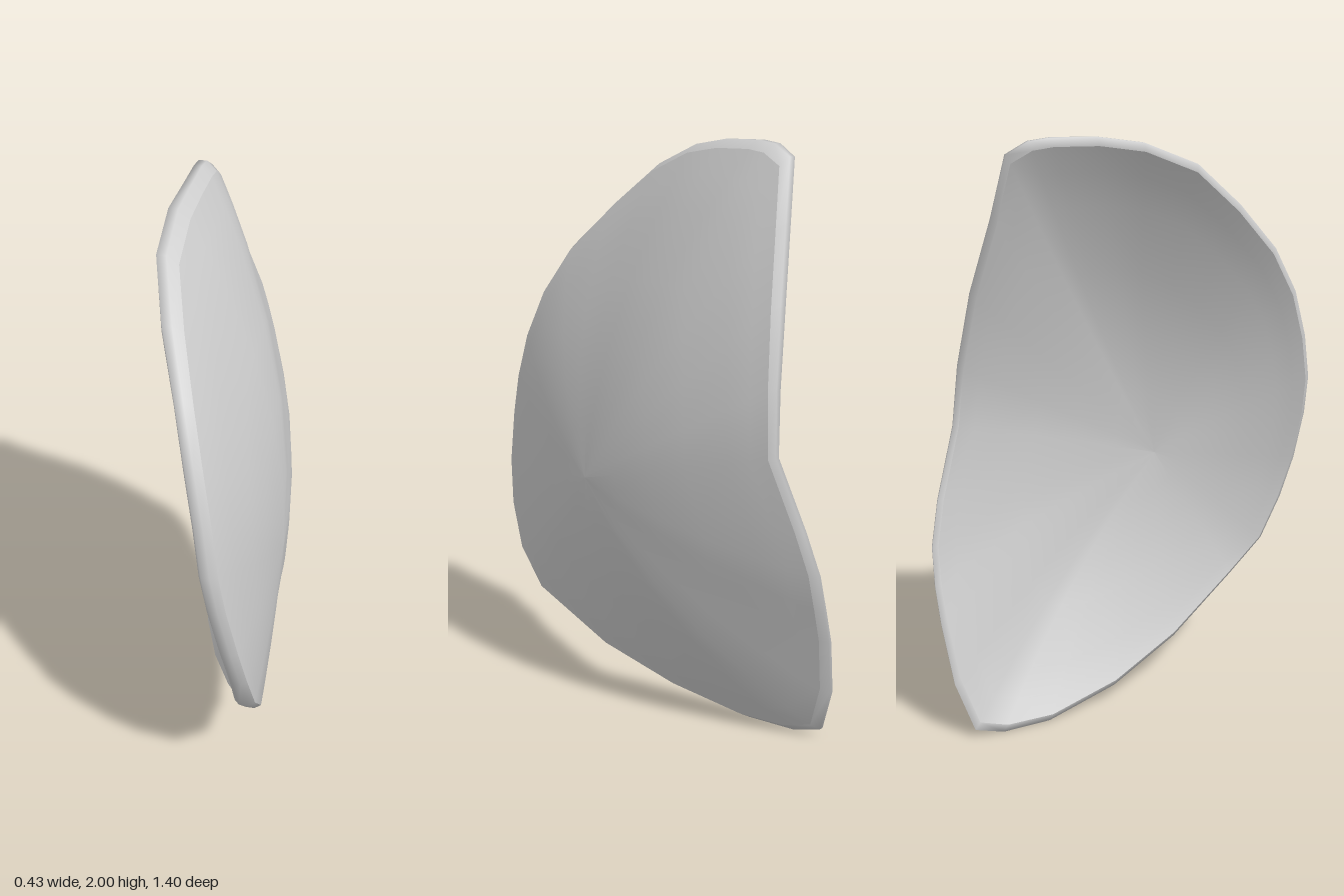
import * as THREE from 'three';

// Rim outline, running top -> front -> bottom -> back: [z, y, outer x, thickness]
const RIM = [
  [-0.30, 2.00, -0.14, 0.06], [-0.15, 2.00, -0.14, 0.06], [0.00, 1.98, -0.145, 0.07], [0.18, 1.91, -0.14, 0.07],
  [0.35, 1.77, -0.085, 0.07], [0.51, 1.61, -0.02, 0.06], [0.61, 1.45, 0.03, 0.06], [0.67, 1.28, 0.07, 0.06],
  [0.70, 1.12, 0.095, 0.06], [0.70, 0.98, 0.12, 0.06], [0.68, 0.80, 0.155, 0.06], [0.64, 0.64, 0.18, 0.06],
  [0.57, 0.48, 0.195, 0.07], [0.45, 0.35, 0.195, 0.07], [0.19, 0.17, 0.09, 0.07], [-0.07, 0.06, -0.02, 0.07],
  [-0.33, 0.005, -0.11, 0.07], [-0.50, 0.005, -0.16, 0.05], [-0.60, 0.035, -0.19, 0.03], [-0.66, 0.20, -0.165, 0.03],
  [-0.69, 0.40, -0.115, 0.03], [-0.70, 0.52, -0.075, 0.03], [-0.70, 0.65, -0.04, 0.03], [-0.67, 0.80, 0.00, 0.03],
  [-0.60, 1.04, 0.06, 0.03], [-0.58, 1.25, 0.045, 0.04], [-0.54, 1.50, -0.005, 0.05], [-0.48, 1.75, -0.085, 0.05],
  [-0.44, 1.95, -0.14, 0.05], [-0.37, 1.99, -0.14, 0.06],
];
const CENTRE = { z: 0.15, y: 0.85, x: 0.215, t: 0.06 };
const EDGE = 0.975; // where the faces meet the bevelled rim

// Point on the dome: s = 0 centre .. 1 rim, depth = 0 outer face .. 1 inner face
function point([z, y, x, t], s, depth) {
  const g = s * s;
  const thick = CENTRE.t + (t - CENTRE.t) * g;
  return [
    CENTRE.x + (x - CENTRE.x) * g - thick * depth,
    CENTRE.y + (y - CENTRE.y) * s,
    CENTRE.z + (z - CENTRE.z) * s,
  ];
}

// Skin a list of [s, depth] rings into one smooth surface
function skin(rings) {
  const n = RIM.length, pos = [], index = [];
  rings.forEach(([s, d]) => RIM.forEach((r) => pos.push(...point(r, s, d))));
  for (let k = 0; k < rings.length - 1; k++) {
    for (let i = 0; i < n; i++) {
      const j = (i + 1) % n;
      const a = k * n + i, a2 = k * n + j, b = a + n, b2 = a2 + n;
      if (rings[k + 1][0] > 0) index.push(a, b, b2);
      else index.push(a, b, a2);
      if (rings[k][0] > 0 && rings[k + 1][0] > 0) index.push(a, b2, a2);
    }
  }
  const geo = new THREE.BufferGeometry();
  geo.setAttribute('position', new THREE.Float32BufferAttribute(pos, 3));
  geo.setIndex(index);
  geo.computeVertexNormals();
  return geo;
}

export function createModel() {
  const group = new THREE.Group();
  group.name = 'curvedShell';
  const grey = new THREE.MeshStandardMaterial({ color: 0xcccccc });
  grey.name = 'light grey';

  const steps = [0, 0.2, 0.4, 0.6, 0.8, 0.9, EDGE];
  const parts = {
    outerFace: steps.map((s) => [s, 0]), // convex side
    rim: [[EDGE, 0], [1, 0.3], [1, 0.75], [EDGE, 1]], // bevelled edge
    innerFace: [...steps].reverse().map((s) => [s, 1]), // hollow side
  };
  for (const [name, rings] of Object.entries(parts)) {
    const mesh = new THREE.Mesh(skin(rings), grey);
    mesh.name = name;
    group.add(mesh);
  }
  return group;
}
